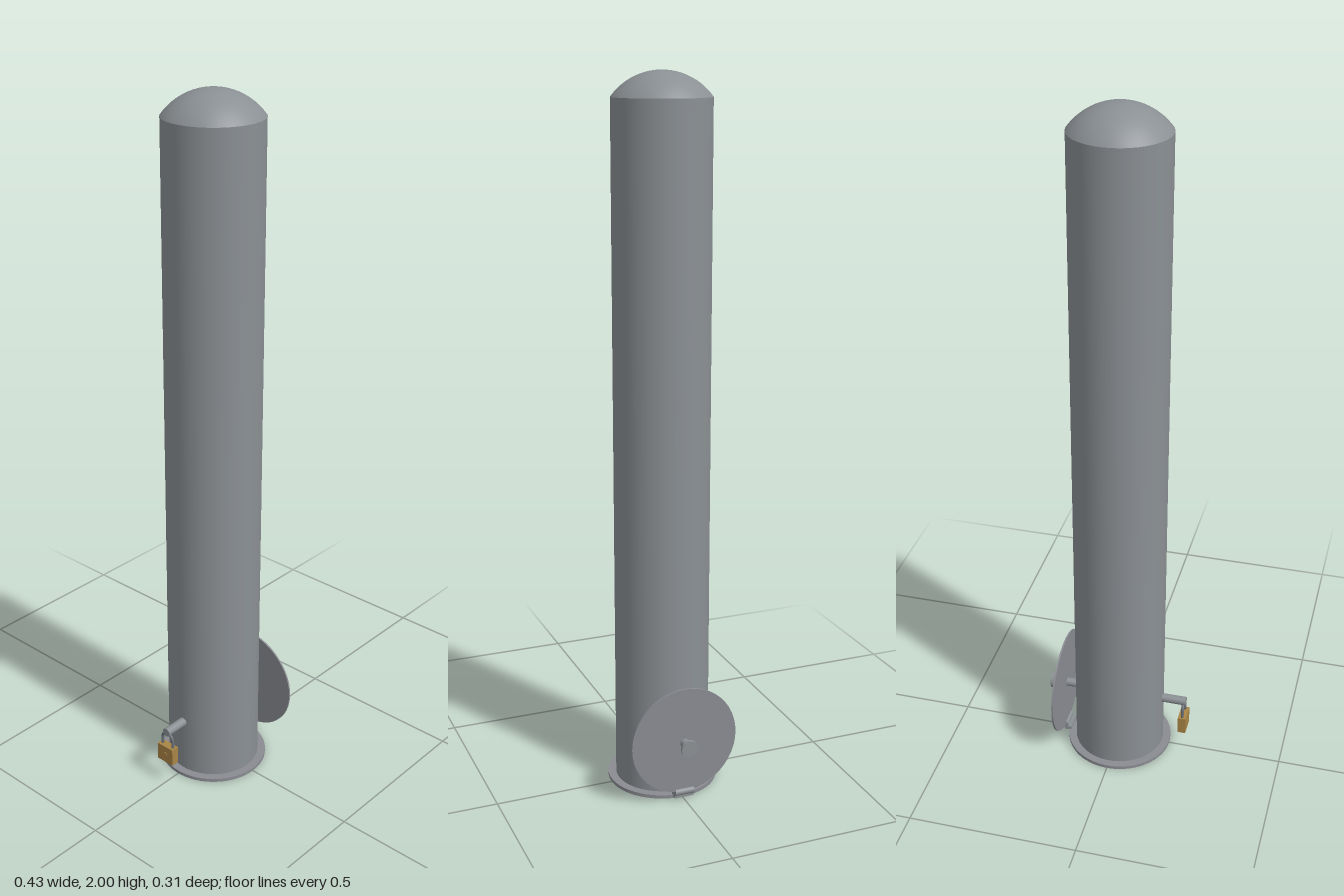
import * as THREE from 'three';

export function createModel() {
  const model = new THREE.Group();
  model.name = 'bollard';

  const material = (name, color) => {
    const m = new THREE.MeshStandardMaterial({ color });
    m.name = name;
    return m;
  };
  const steel = material('steel', 0x8b9094);
  const plateSteel = material('plate steel', 0x8a8c92);
  const shackleSteel = material('shackle steel', 0x6b7078);
  const brass = material('brass', 0xa98545);

  const add = (name, geometry, mat, x, y, z, parent = model) => {
    const mesh = new THREE.Mesh(geometry, mat);
    mesh.name = name;
    mesh.position.set(x, y, z);
    parent.add(mesh);
    return mesh;
  };
  // Cylinder lying along x, between two x positions
  const rodX = (name, radius, x0, x1, y, mat, parent) => {
    const g = new THREE.CylinderGeometry(radius, radius, x1 - x0, 48).rotateZ(Math.PI / 2);
    return add(name, g, mat, (x0 + x1) / 2, y, 0, parent);
  };

  const cx = -0.001;
  const postRadius = 0.134;
  const postTop = 1.932;

  // Post and its foot flange
  add('baseFlange', new THREE.CylinderGeometry(0.157, 0.157, 0.01, 96), plateSteel, cx, 0.005, 0);
  add('post', new THREE.CylinderGeometry(postRadius, postRadius, postTop - 0.01, 96),
    steel, cx, (postTop + 0.01) / 2, 0);

  // Shallow spherical cap
  const rise = 2 - postTop;
  const capRadius = (postRadius ** 2 + rise ** 2) / (2 * rise);
  const capAngle = Math.asin(postRadius / capRadius);
  add('domeCap', new THREE.SphereGeometry(capRadius, 96, 20, 0, Math.PI * 2, 0, capAngle),
    steel, cx, 2 - capRadius, 0);

  // Locking pin through the post, with a flat head
  rodX('lockingPin', 0.013, -0.207, 0.206, 0.176, steel);
  rodX('pinHead', 0.025, 0.205, 0.213, 0.176, steel);

  // Round cover plate standing upright on its hinge
  rodX('coverPlate', 0.157, 0.1655, 0.1705, 0.182, plateSteel);
  const barrel = new THREE.CylinderGeometry(0.01, 0.01, 0.056, 32).rotateX(Math.PI / 2);
  add('hingeBarrel', barrel, steel, 0.168, 0.025, 0);
  add('hingeLeaf', new THREE.BoxGeometry(0.022, 0.012, 0.056), steel, 0.159, 0.013, 0);

  // Padlock hanging from the end of the pin
  const padlock = new THREE.Group();
  padlock.name = 'padlock';
  padlock.position.set(-0.201, 0, 0);
  model.add(padlock);
  add('padlockBody', new THREE.BoxGeometry(0.024, 0.054, 0.058), brass, 0, 0.102, 0, padlock);
  rodX('keyCylinder', 0.007, -0.0135, -0.011, 0.102, brass, padlock);

  // Shackle: two legs joined by a half circle
  const points = [new THREE.Vector3(0, 0.12, -0.02)];
  for (let i = 0; i <= 12; i++) {
    const a = Math.PI * (1 - i / 12);
    points.push(new THREE.Vector3(0, 0.15 + 0.02 * Math.sin(a), 0.02 * Math.cos(a)));
  }
  points.push(new THREE.Vector3(0, 0.12, 0.02));
  const path = new THREE.CatmullRomCurve3(points);
  add('shackle', new THREE.TubeGeometry(path, 40, 0.0045, 12), shackleSteel, 0, 0, 0, padlock);

  return model;
}
